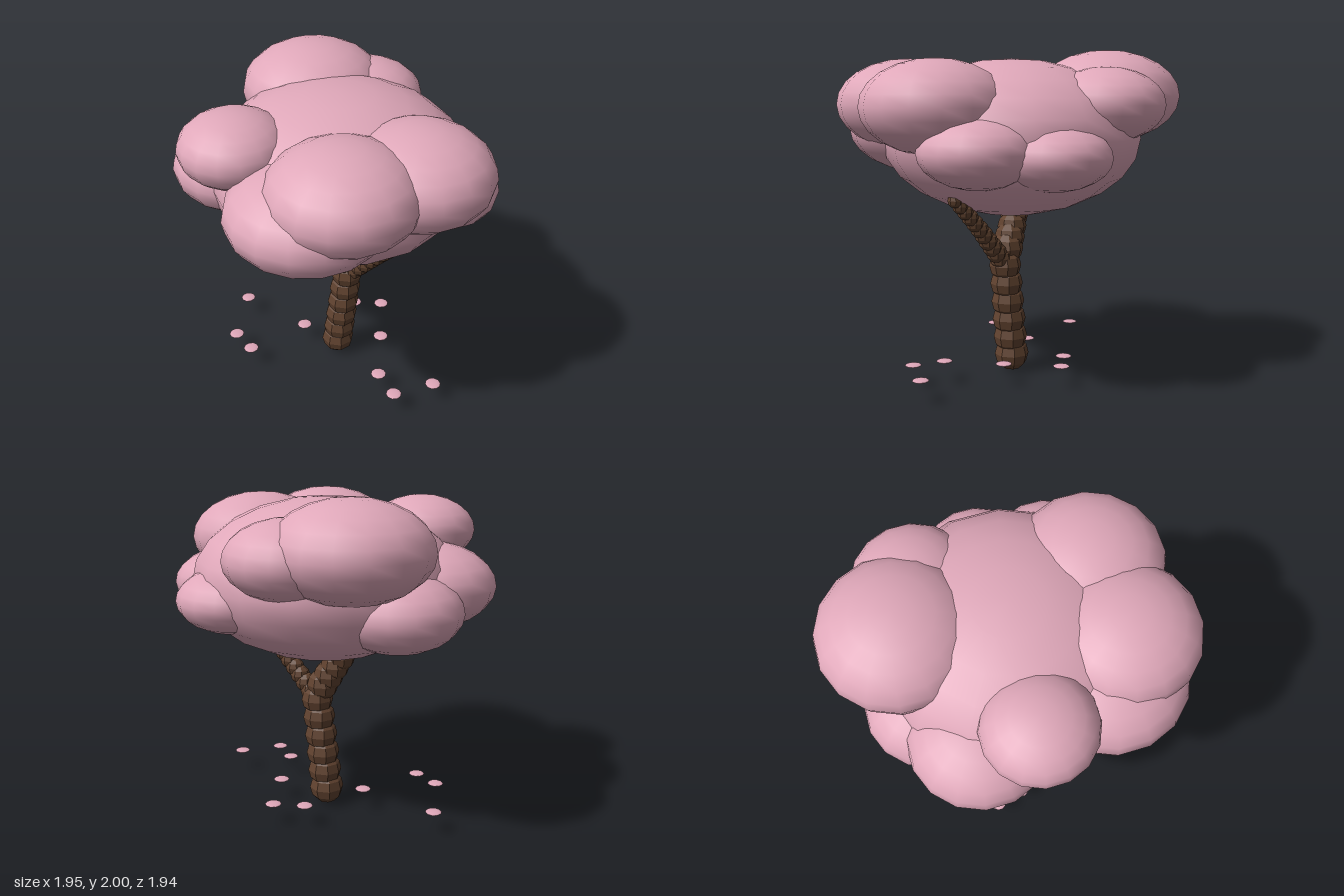
import * as THREE from 'three';

const blossomPink = new THREE.MeshStandardMaterial({ name: 'blossomPink', color: 0xe0a8ba });
const barkBrown = new THREE.MeshStandardMaterial({ name: 'barkBrown', color: 0x60422f, flatShading: true });

// Adds one ellipsoid mesh
function addBlob(parent, name, geometry, material, [x, y, z], rx, ry = rx) {
  const mesh = new THREE.Mesh(geometry, material);
  mesh.name = name;
  mesh.position.set(x, y, z);
  mesh.scale.set(rx, ry, rx);
  parent.add(mesh);
  return mesh;
}

// Adds a tapering chain of knobbly segments along a path
function addLimb(parent, name, points, count, rStart, rEnd) {
  const limb = new THREE.Group();
  limb.name = name;
  const knob = new THREE.SphereGeometry(1, 8, 6);
  const curve = new THREE.CatmullRomCurve3(points.map((p) => new THREE.Vector3(...p)));
  for (let i = 0; i < count; i++) {
    const t = i / (count - 1);
    const p = curve.getPointAt(t);
    addBlob(limb, `${name}Segment`, knob, barkBrown, p.toArray(), rStart + (rEnd - rStart) * t);
  }
  parent.add(limb);
}

export function createModel() {
  const tree = new THREE.Group();
  tree.name = 'blossomTree';

  // Trunk, its upper bend and the side branch
  addLimb(tree, 'trunk', [[-0.04, 0.11, -0.06], [-0.005, 0.4, -0.06], [0.03, 0.69, -0.06]], 6, 0.108, 0.1);
  addLimb(tree, 'upperTrunk', [[-0.005, 0.79, -0.05], [-0.065, 0.89, -0.035], [-0.12, 0.98, -0.02]], 4, 0.1, 0.088);
  addLimb(tree, 'sideBranch', [[0.08, 0.74, -0.06], [0.3, 0.96, -0.06], [0.51, 1.14, -0.06]], 11, 0.066, 0.043);

  // Canopy: one large core ringed by flattened clumps [x, y, z, radius, half height]
  const ball = new THREE.SphereGeometry(1, 16, 12);
  const canopy = new THREE.Group();
  canopy.name = 'canopy';
  tree.add(canopy);
  const clumps = [
    [-0.03, 1.475, -0.06, 0.78, 0.47],
    [-0.47, 1.72, -0.46, 0.45, 0.28],
    [-0.18, 1.67, -0.62, 0.35, 0.22],
    [0.26, 1.39, -0.55, 0.33, 0.19],
    [0.54, 1.42, -0.25, 0.34, 0.205],
    [0.54, 1.66, 0.05, 0.43, 0.273],
    [0.32, 1.67, 0.46, 0.43, 0.275],
    [0.13, 1.52, 0.51, 0.46, 0.275],
    [-0.39, 1.73, 0.45, 0.32, 0.205],
    [-0.57, 1.45, 0.19, 0.405, 0.248],
    [-0.59, 1.36, -0.17, 0.37, 0.23],
  ];
  clumps.forEach(([x, y, z, r, h], i) =>
    addBlob(canopy, i ? 'foliageClump' : 'foliageCore', ball, blossomPink, [x, y, z], r, h));

  // Fallen petals, evenly spaced in x
  const petals = new THREE.Group();
  petals.name = 'petals';
  tree.add(petals);
  const petalShape = new THREE.SphereGeometry(1, 10, 6);
  const petalZ = [-0.03, 0.32, 0.38, -0.01, -0.4, -0.49, -0.19, 0.13, 0.23, 0.02];
  petalZ.forEach((z, i) =>
    addBlob(petals, 'petal', petalShape, blossomPink, [-0.79 + 0.169 * i, 0.135, z], 0.05, 0.009));

  return tree;
}
